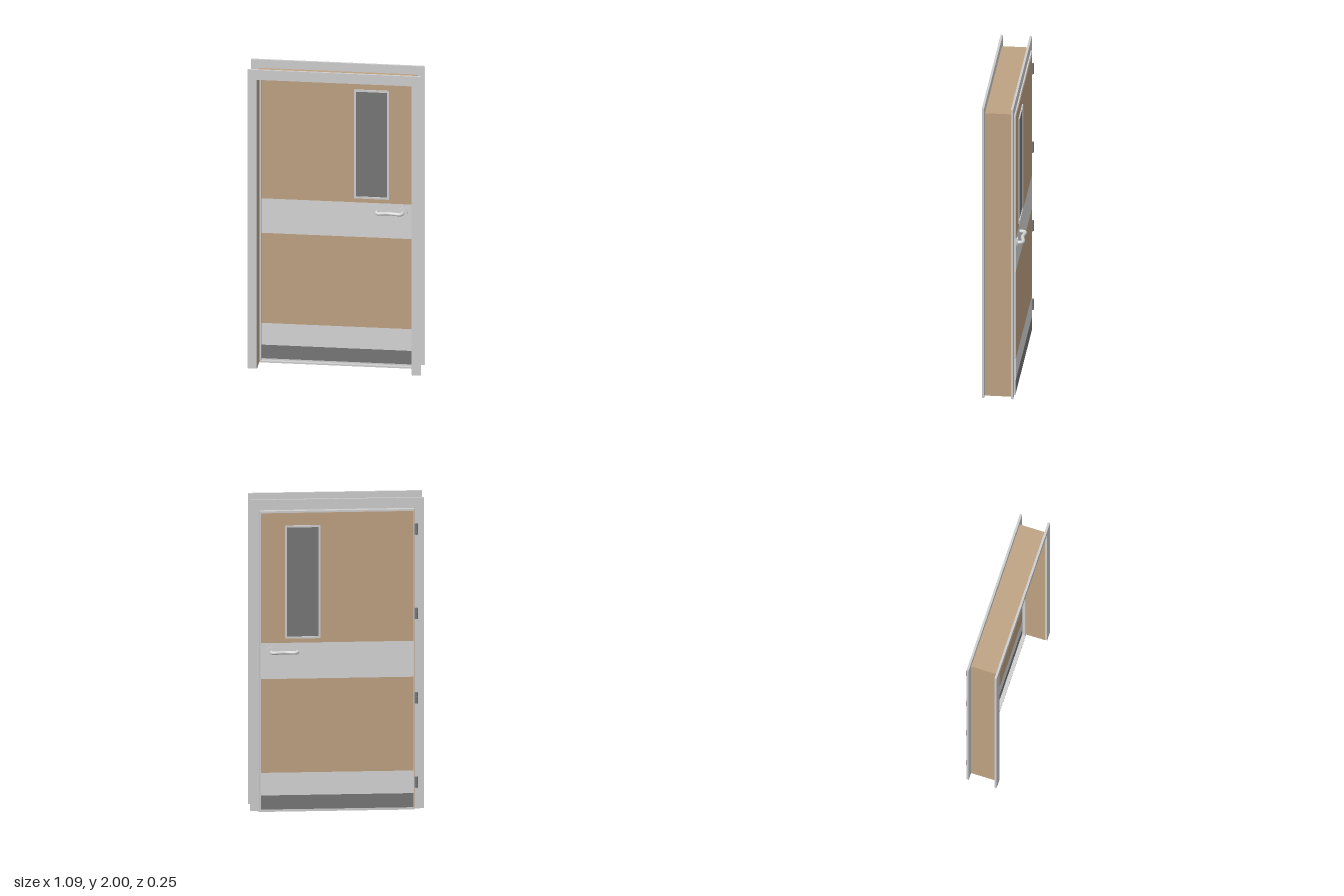
import * as THREE from 'three';

const mat = (name, color) => {
  const m = new THREE.MeshStandardMaterial({ color });
  m.name = name;
  return m;
};

export function createModel() {
  const door = new THREE.Group();
  door.name = 'door';
  const wood = mat('wood', 0xbea282);
  const paint = mat('frame grey', 0xcecece);
  const steel = mat('brushed steel', 0xd6d6d6);
  const dark = mat('dark grey', 0x777777);

  const add = (name, geo, material, parent = door) => {
    const mesh = new THREE.Mesh(geo, material);
    mesh.name = name;
    parent.add(mesh);
    return mesh;
  };
  // Box given by its limits on each axis
  const box = (name, material, x0, x1, y0, y1, z0, z1, parent = door) => {
    const m = add(name, new THREE.BoxGeometry(x1 - x0, y1 - y0, z1 - z0), material, parent);
    m.position.set((x0 + x1) / 2, (y0 + y1) / 2, (z0 + z1) / 2);
    return m;
  };
  // Three-sided surround: two legs and a head, open at the floor
  const surround = (name, material, outer, inner, bottom, top, innerTop, z0, z1) => {
    const pts = [[-outer, bottom], [-inner, bottom], [-inner, innerTop], [inner, innerTop],
      [inner, bottom], [outer, bottom], [outer, top], [-outer, top]];
    const shape = new THREE.Shape(pts.map(([x, y]) => new THREE.Vector2(x, y)));
    const geo = new THREE.ExtrudeGeometry(shape, { depth: z1 - z0, bevelEnabled: false });
    geo.translate(0, 0, z0);
    return add(name, geo, material);
  };

  // Frame: casings on both wall faces, wooden lining, stop and sill
  surround('frontCasing', paint, 0.543, 0.486, 0.01, 2, 1.934, 0.111, 0.125);
  surround('backCasing', paint, 0.543, 0.486, 0.01, 2, 1.934, -0.071, -0.057);
  surround('jambLining', wood, 0.494, 0.485, 0.004, 1.945, 1.933, -0.057, 0.111);
  surround('doorStop', paint, 0.485, 0.475, 0.004, 1.933, 1.916, -0.034, -0.012);
  box('sill', paint, -0.485, 0.485, 0, 0.01, -0.06, -0.012);

  // Door leaf: metal-edged core
  const back = -0.078, front = -0.037;
  box('leafCore', paint, -0.484, 0.484, 0.011, 1.928, back, front);

  // Facing bands, window and handle repeated on both leaf faces
  const bands = [
    ['lowerKickBand', dark, 0.02, 0.11],
    ['kickPlate', steel, 0.11, 0.255],
    ['lowerPanel', wood, 0.255, 0.855],
    ['pushPlate', steel, 0.855, 1.085],
    ['upperPanel', wood, 1.085, 1.916],
  ];
  for (const [side, z, s] of [['front', front, 1], ['back', back, -1]]) {
    const face = new THREE.Group();
    face.name = side + 'Face';
    door.add(face);
    const plate = (name, m, x0, x1, y0, y1, t) =>
      box(name, m, x0, x1, y0, y1, Math.min(z, z + s * t), Math.max(z, z + s * t), face);
    for (const [name, m, y0, y1] of bands) plate(name, m, -0.475, 0.475, y0, y1, 0.002);

    // Window pane with its glazing bead
    plate('windowPane', dark, 0.118, 0.313, 1.125, 1.825, 0.004);
    const rim = new THREE.Shape([[0.105, 1.113], [0.326, 1.113], [0.326, 1.837], [0.105, 1.837]]
      .map(([x, y]) => new THREE.Vector2(x, y)));
    rim.holes.push(new THREE.Path([[0.118, 1.126], [0.118, 1.824], [0.313, 1.824], [0.313, 1.126]]
      .map(([x, y]) => new THREE.Vector2(x, y))));
    const bead = add('windowBead', new THREE.ExtrudeGeometry(rim, { depth: 0.009, bevelEnabled: false }), paint, face);
    bead.position.z = s > 0 ? z : z - 0.009;

    // Lever handle: round rose, wavy bar and returned end
    const rose = add('handleRose', new THREE.CylinderGeometry(0.033, 0.033, 0.008, 32), steel, face);
    rose.rotation.x = Math.PI / 2;
    rose.position.set(0.41, 1.029, z + s * 0.005);
    const path = [[0.41, 0], [0.411, 0.028], [0.402, 0.038], [0.375, 0.038], [0.325, 0.029],
      [0.285, 0.036], [0.26, 0.038], [0.25, 0.028], [0.249, 0.006]]
      .map(([x, d]) => new THREE.Vector3(x, 1.029, z + s * d));
    add('handleLever', new THREE.TubeGeometry(new THREE.CatmullRomCurve3(path), 48, 0.011, 12), steel, face);
    const cap = add('handleTip', new THREE.SphereGeometry(0.011, 12, 8), steel, face);
    cap.position.copy(path[path.length - 1]);
  }

  // Four hinges: knuckle barrels along the hinge edge
  for (const y of [0.18, 0.72, 1.26, 1.8]) {
    const hinge = new THREE.Group();
    hinge.name = 'hinge';
    hinge.position.set(-0.495, y, -0.08);
    door.add(hinge);
    for (const dy of [-0.0235, 0, 0.0235]) {
      add('hingeKnuckle', new THREE.CylinderGeometry(0.01, 0.01, 0.022, 16), dark, hinge).position.y = dy;
    }
    add('hingePin', new THREE.CylinderGeometry(0.006, 0.006, 0.072, 12), dark, hinge);
    box('hingeLeaf', dark, 0, 0.014, -0.034, 0.034, -0.001, 0.004, hinge);
  }
  return door;
}
